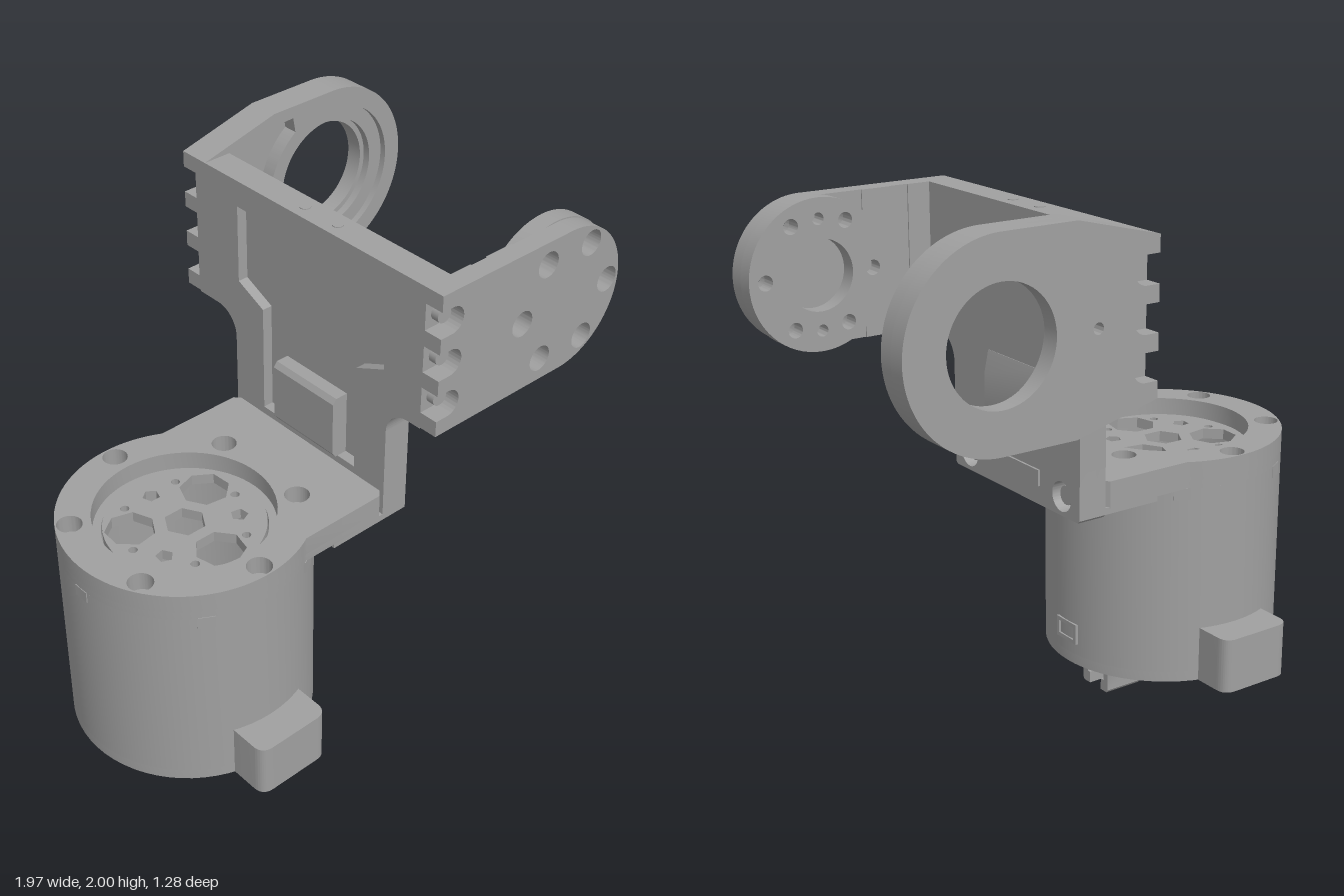
import * as THREE from 'three';
import { toCreasedNormals } from 'three/addons/utils/BufferGeometryUtils.js';

const PI = Math.PI;
const MX = -0.54, MZ = 0.02, MR = 0.445; // motor axis and radius
const AX = 0.63, AY = 1.65;              // tilt axis of the two arms

export function createModel() {
  const model = new THREE.Group();
  model.name = 'motorBracketAssembly';
  const grey = new THREE.MeshStandardMaterial({ color: 0xa0a0a0, side: THREE.DoubleSide });
  grey.name = 'machinedGrey';

  const add = (name, geo) => {
    const m = new THREE.Mesh(geo, grey);
    m.name = name;
    model.add(m);
    return m;
  };
  const box = (name, x0, x1, y0, y1, z0, z1) =>
    add(name, new THREE.BoxGeometry(x1 - x0, y1 - y0, z1 - z0))
      .position.set((x0 + x1) / 2, (y0 + y1) / 2, (z0 + z1) / 2);
  const poly = (pts) => new THREE.Shape(pts.map((p) => new THREE.Vector2(...p)));
  const disc = (x, y, r) => new THREE.Shape().absarc(x, y, r, 0, PI * 2, false);
  const ngon = (x, y, r, n, turn = 0) => poly(Array.from({ length: n }, (_, i) => {
    const a = turn + (i * 2 * PI) / n;
    return [x + r * Math.cos(a), y + r * Math.sin(a)];
  }));
  // Extrusion along an axis; shape coordinates are (x,y) for z, (x,-z) for y, (-z,y) for x
  const slab = (name, axis, shape, from, to, holes = []) => {
    shape.holes.push(...holes);
    let geo = new THREE.ExtrudeGeometry(shape, { depth: to - from, bevelEnabled: false, curveSegments: 32 });
    geo.translate(0, 0, from);
    if (axis === 'y') geo.rotateX(-PI / 2);
    if (axis === 'x') geo.rotateY(PI / 2);
    geo = toCreasedNormals(geo, 0.5);
    return add(name, geo);
  };
  const ringOf = (n, x, y, r, fn, turn = 0) => Array.from({ length: n }, (_, i) => {
    const a = turn + (i * 2 * PI) / n;
    return fn(x + r * Math.cos(a), y + r * Math.sin(a), a);
  });

  // Motor housing: hollow shell
  const cy = -MZ;
  slab('motorShell', 'y', disc(MX, cy, MR), 0.19, 0.91, [disc(MX, cy, 0.42)]);

  // Motor base with vent petals and a connector opening
  const petals = [1, 2, 3, 4].map((k) => {
    const a = (k * 2 * PI) / 5;
    return ngon(MX + 0.2 * Math.cos(a), cy + 0.2 * Math.sin(a), 0.085, 5, a);
  });
  const opening = poly([[-0.41, -0.13], [-0.2, -0.13], [-0.2, 0.09], [-0.41, 0.09]]);
  slab('motorBase', 'y', disc(MX, cy, MR), 0.15, 0.19, [...petals, opening]);

  // Hooked connector prongs under the motor
  for (const s of [-1, 1]) {
    const pts = [[0.09, 0.19], [0.09, 0.15], [0.077, 0.12], [0.077, 0.01], [0.07, 0.005], [0.034, 0.005],
      [0.034, 0.045], [0.05, 0.045], [0.05, 0.19]];
    slab('connectorProng', 'x', poly(pts.map(([u, v]) => [-MZ + s * u, v === 0.005 ? 0 : v])), -0.385, -0.23);
  }

  // Side cable housings
  for (const s of [-1, 1]) {
    const h = new THREE.Shape(), e = cy + s * 0.57, i = cy + s * 0.38, k = s * 0.05;
    h.moveTo(MX - 0.15, i);
    h.lineTo(MX - 0.15, e - k);
    h.quadraticCurveTo(MX - 0.15, e, MX - 0.10, e);
    h.lineTo(MX + 0.10, e);
    h.quadraticCurveTo(MX + 0.15, e, MX + 0.15, e - k);
    h.lineTo(MX + 0.15, i);
    slab('cableHousing', 'y', h, 0.15, 0.36);
  }

  // Socket frame on the motor side
  const sx = MX + MR;
  box('socketTop', sx - 0.02, sx + 0.006, 0.30, 0.315, -0.04, 0.08);
  box('socketBottom', sx - 0.02, sx + 0.006, 0.235, 0.25, -0.04, 0.08);
  for (const z of [-0.04, 0.065]) box('socketSide', sx - 0.02, sx + 0.006, 0.235, 0.315, z, z + 0.015);

  // Clips below the top plate
  ringOf(6, MX, MZ, MR - 0.008, (x, z, a) => {
    const m = add('plateClip', new THREE.BoxGeometry(0.02, 0.045, 0.06));
    m.position.set(x, 0.89, z);
    m.rotation.y = -a;
  });

  // Top plate: round flange that runs into a straight mounting tongue
  const plate = () => {
    const s = new THREE.Shape(), a = Math.asin(0.3925 / MR);
    s.moveTo(0.01, cy - 0.3925);
    s.lineTo(0.03, cy - 0.37);
    s.lineTo(0.03, cy + 0.37);
    s.lineTo(0.01, cy + 0.3925);
    s.absarc(MX, cy, MR, a, 2 * PI - a, false);
    return s;
  };
  const bolts = (r) => ringOf(6, MX, cy, 0.394, (x, y) => disc(x, y, r), PI / 6);
  slab('topPlate', 'y', plate(), 0.94, 1.01, [disc(MX, cy, 0.32), ...bolts(0.045)]);
  slab('topPlateFloor', 'y', plate(), 0.91, 0.94, [disc(MX, cy, 0.29), ...bolts(0.022)]);
  box('mountingTongue', -0.2, 0.03, 0.89, 0.915, -0.37, 0.41);

  // Rotor face with its hole pattern
  slab('rotorFace', 'y', disc(MX, cy, 0.285), 0.915, 0.955, [
    ngon(MX, cy, 0.075, 6),
    ...ringOf(3, MX, cy, 0.19, (x, y, a) => ngon(x, y, 0.09, 7, a), PI / 6),
    ...ringOf(3, MX, cy, 0.19, (x, y, a) => ngon(x, y, 0.032, 5, a), PI / 2),
    ...ringOf(6, MX, cy, 0.225, (x, y) => disc(x, y, 0.016)),
  ]);

  // Upright T-shaped bracket plate
  const tee = () => {
    const s = new THREE.Shape(), r = 0.1;
    s.moveTo(-0.40, 0.88);
    s.lineTo(0.36, 0.88);
    s.lineTo(0.37, 0.89);
    s.absarc(0.37 + r, 1.375 - r, r, PI, PI / 2, true);
    s.lineTo(0.57, 1.375);
    s.lineTo(0.57, 1.92);
    s.lineTo(-0.565, 1.92);
    s.lineTo(-0.565, 1.375);
    s.absarc(-0.41 - r, 1.375 - r, r, PI / 2, 0, true);
    s.lineTo(-0.41, 0.89);
    return s;
  };
  const pocket = poly([[-0.26, 1.04], [0.22, 1.04], [0.22, 1.46], [0.35, 1.52], [0.35, 1.82],
    [-0.39, 1.82], [-0.39, 1.52], [-0.26, 1.46]]);
  slab('bracketFrame', 'x', tee(), 0.03, 0.07, [pocket]);
  slab('bracketWeb', 'x', tee(), 0.07, 0.14, [disc(-0.315, 0.95, 0.055), disc(0.265, 0.95, 0.055)]);
  for (const z of [0.315, -0.265]) {
    const m = add('mountScrew', new THREE.CylinderGeometry(0.035, 0.035, 0.05, 20));
    m.rotation.z = PI / 2;
    m.position.set(0.095, 0.95, z);
  }
  for (const z of [-0.06, 0.1]) {
    add('topPin', new THREE.CylinderGeometry(0.02, 0.02, 0.02, 16)).position.set(0.085, 1.913, z);
  }

  // Cable clip passing through the bracket
  slab('cableClip', 'z', poly([[0.08, 1.04], [0.02, 1.04], [0.005, 1.06], [0.005, 1.27], [0.02, 1.29], [0.08, 1.29]]),
    -0.135, 0.175);
  slab('cableClipFront', 'z', poly([[0.13, 1.11], [0.155, 1.11], [0.16, 1.13], [0.16, 1.29], [0.142, 1.375], [0.13, 1.375]]),
    -0.135, 0.18);
  box('strapBar', 0.12, 0.148, 0.95, 1.01, -0.135, 0.18);

  // Left edge of an arm with three open screw notches
  const notchedEdge = (s) => {
    s.lineTo(0.03, 1.92);
    for (const y of [1.81, 1.65, 1.49]) {
      s.lineTo(0.03, y + 0.05);
      s.lineTo(0.08, y + 0.05);
      s.absarc(0.08, y, 0.05, PI / 2, -PI / 2, true);
      s.lineTo(0.03, y - 0.05);
    }
    s.lineTo(0.03, 1.38);
    return s;
  };
  for (const z of [0.575, -0.58]) for (const y of [1.81, 1.65, 1.49]) {
    const m = add('armScrew', new THREE.CylinderGeometry(0.03, 0.03, 0.04, 20));
    m.rotation.x = PI / 2;
    m.position.set(0.085, y, z);
  }

  // Front arm with a bearing boss on its inner side
  const front = new THREE.Shape();
  front.moveTo(0.03, 1.38);
  front.absarc(AX, AY, 0.27, -PI / 2, PI / 2, false);
  slab('frontArm', 'z', notchedEdge(front), 0.565, 0.637,
    ringOf(6, AX, AY, 0.212, (x, y) => disc(x, y, 0.048)));
  slab('frontBoss', 'z', disc(AX, AY, 0.275), 0.5, 0.565, [
    disc(AX, AY, 0.13),
    ...ringOf(6, AX, AY, 0.212, (x, y) => disc(x, y, 0.028)),
    ...ringOf(2, AX, AY, 0.2, (x, y) => disc(x, y, 0.022), PI / 2),
  ]);
  box('frontArmStep', 0.14, 0.23, 1.38, 1.92, 0.56, 0.57);
  box('frontArmRib', 0.30, 0.42, 1.38, 1.92, 0.56, 0.57);

  // Rear arm: tapered plate with a large round opening
  const rear = (x0, y0, y1) => {
    const s = new THREE.Shape();
    s.moveTo(x0, y0);
    s.lineTo(0.35, 1.30);
    s.absarc(AX, AY, 0.35, -PI / 2, PI / 2, false);
    s.lineTo(0.35, 2.0);
    s.lineTo(x0, y1);
    return s;
  };
  const pinHole = () => disc(0.27, AY, 0.02);
  slab('rearArm', 'z', notchedEdge(rear(0.03, 1.38, 1.92)), -0.64, -0.575, [disc(AX, AY, 0.2), pinHole()]);

  // Raised rim with a weight-saving pocket beside the ring
  const hollow = new THREE.Shape();
  hollow.moveTo(0.17, 1.89);
  hollow.lineTo(0.17, 1.41);
  hollow.lineTo(0.34, 1.35);
  hollow.lineTo(0.44, 1.345);
  hollow.absarc(AX, AY, 0.305, 1.3 * PI, 0.7 * PI, true);
  hollow.lineTo(0.44, 1.955);
  hollow.lineTo(0.34, 1.95);
  slab('rearArmRim', 'z', rear(0.03, 1.38, 1.92), -0.575, -0.52, [hollow, disc(AX, AY, 0.28)]);
  slab('rearBearingSeat', 'z', disc(AX, AY, 0.282), -0.575, -0.545, [disc(AX, AY, 0.22)]);

  return model;
}
